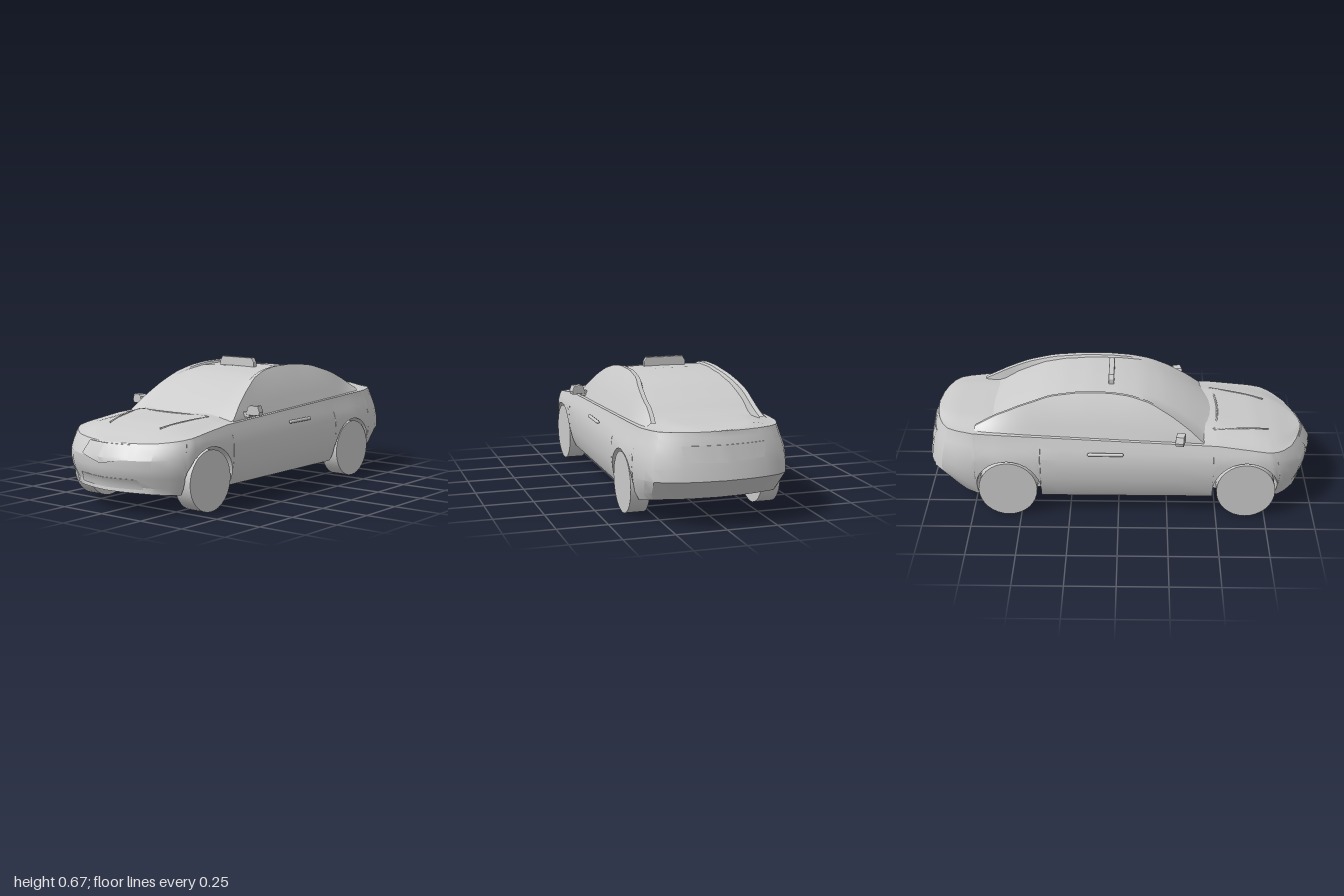
import * as THREE from 'three';
import { toCreasedNormals } from 'three/addons/utils/BufferGeometryUtils.js';

const material = new THREE.MeshStandardMaterial({ color: 0xcccccc });
const thinMaterial = new THREE.MeshStandardMaterial({ color: 0xcccccc, side: THREE.DoubleSide });
const clamp = THREE.MathUtils.clamp, lerp = THREE.MathUtils.lerp;

// Linear lookup in a table of [key, value] with rising keys
function look(table, key) {
  if (key <= table[0][0]) return table[0][1];
  for (let i = 1; i < table.length; i++) {
    const [a, va] = table[i - 1], [b, vb] = table[i];
    if (key <= b) return lerp(va, vb, (key - a) / (b - a));
  }
  return table[table.length - 1][1];
}

// Surface through a grid of points: rows run backwards, columns upwards on the left side
function skin(rows, crease = 0.5) {
  const n = rows[0].length, index = [];
  for (let i = 0; i < rows.length - 1; i++)
    for (let j = 0; j < n - 1; j++) {
      const a = i * n + j, b = a + n;
      index.push(a, b, a + 1, b, b + 1, a + 1);
    }
  const g = new THREE.BufferGeometry();
  g.setAttribute('position', new THREE.Float32BufferAttribute(rows.flat(2), 3));
  g.setIndex(index);
  return toCreasedNormals(g, crease);
}
const mirrored = half => [...half, ...half.slice(0, -1).reverse().map(([x, y, z]) => [-x, y, z])];

// Plan outline (z, half width) and body curves
const plan = [[-1, 0], [-0.99, 0.12], [-0.975, 0.2], [-0.95, 0.275], [-0.91, 0.325], [-0.85, 0.352], [-0.75, 0.378],
  [-0.6, 0.388], [0, 0.388], [0.6, 0.388], [0.72, 0.388], [0.79, 0.38], [0.84, 0.355], [0.88, 0.32], [0.93, 0.255],
  [0.965, 0.17], [0.988, 0.085], [1, 0]];
const floorY = [[-1, 0.125], [-0.88, 0.115], [-0.74, 0.1], [0.85, 0.1], [1, 0.11]];
const beltY = [[-1, 0.455], [-0.6, 0.445], [0, 0.42], [0.5, 0.4], [0.8, 0.365], [0.95, 0.342], [1, 0.34]];
const crownY = [[-1, 0.458], [-0.92, 0.472], [-0.7, 0.468], [0, 0.44], [0.5, 0.432], [0.7, 0.408], [0.85, 0.382], [0.93, 0.36], [1, 0.34]];
const sideWidth = [[0.1, 0.35], [0.15, 0.375], [0.23, 0.388], [0.31, 0.388], [0.34, 0.382], [0.4, 0.36], [0.43, 0.35], [0.46, 0.342]];
const frontLean = [[0.11, -0.03], [0.14, -0.035], [0.2, 0], [0.27, 0], [0.31, -0.025], [0.36, -0.06]];
const rearLean = [[0.125, 0.12], [0.235, 0], [0.3, 0.012], [0.4, 0.035], [0.46, 0.055]];
const wheelZ = [0.65, -0.565], archR = 0.17;

const leanZ = (z, y) => z + look(z > 0 ? frontLean : rearLean, y) * clamp((Math.abs(z) - 0.7) / 0.25, 0, 1);
const deckY = (z, k) => lerp(look(crownY, z), look(beltY, z), THREE.MathUtils.smoothstep(k, 0.5, 1));

function archY(z) {
  for (const c of wheelZ) {
    const d = Math.abs(z - c);
    if (d < archR - 0.0005) return 0.145 + Math.sqrt(archR ** 2 - d * d);
  }
  return look(floorY, z);
}

// Lower body: floor, wheel wells, sides, bonnet and boot lid in one skin
function bodyGeometry() {
  const stations = plan.map(p => p[0]).filter(z => wheelZ.every(c => Math.abs(z - c) > archR));
  for (const c of wheelZ) {
    stations.push(c + archR, c - archR);
    for (let i = 0; i <= 16; i++) stations.push(c + (archR - 0.001) * Math.cos(i * Math.PI / 16));
  }
  stations.push(0.3, 0.15, -0.15, -0.3);
  stations.sort((a, b) => b - a);
  return skin(stations.map(z => {
    const w = look(plan, z), low = look(floorY, z), edge = archY(z), belt = look(beltY, z);
    const width = y => w * look(sideWidth, y) / 0.388;
    const inner = Math.min(0.27, width(low)), z0 = leanZ(z, low);
    const half = [[0, low, z0], [inner, low, z0], [inner, edge, z0]];
    for (const t of [0, 0.12, 0.33, 0.5, 0.68, 0.82, 0.92, 1]) {
      const y = lerp(edge, belt, t);
      half.push([width(y), y, leanZ(z, y)]);
    }
    for (const k of [0.95, 0.88, 0.8, 0.7, 0.6, 0.5, 0.25, 0])
      half.push([width(belt) * k, deckY(z, k), leanZ(z, belt)]);
    return mirrored(half);
  }), 0.45);
}

// Cabin: side glass, raised roof rails, windscreen, roof and sunken rear window
const railY = [[-0.73, 0.465], [-0.62, 0.522], [-0.5, 0.572], [-0.35, 0.617], [-0.2, 0.633], [-0.05, 0.632], [0.05, 0.62],
  [0.15, 0.59], [0.25, 0.535], [0.35, 0.47], [0.43, 0.408]];
const roofY = [[-0.73, 0.44], [-0.62, 0.478], [-0.55, 0.52], [-0.4, 0.588], [-0.3, 0.613], [-0.15, 0.626], [0, 0.622], [0.1, 0.605],
  [0.2, 0.567], [0.3, 0.508], [0.43, 0.43]];
const glassX = [[0.4, 0.343], [0.43, 0.333], [0.55, 0.283], [0.6, 0.255], [0.63, 0.235]];

function cabinGeometry() {
  const rows = [];
  for (let i = 0; i <= 32; i++) {
    const z = lerp(0.43, -0.73, i / 32), base = look(beltY, z) - 0.015;
    const rail = Math.max(look(railY, z), base), roof = look(roofY, z);
    const tuck = 0.035 * THREE.MathUtils.smoothstep(-z, 0.45, 0.73);
    const bow = x => z + 0.05 * clamp(z / 0.3, 0, 1) * (1 - (x / 0.34) ** 2);
    const half = [];
    for (const t of [0, 0.33, 0.67, 1]) {
      const y = lerp(base, rail, t), x = look(glassX, y) - tuck * t;
      half.push([x, y, bow(x)]);
    }
    const xr = half[3][0], edge = Math.min(rail, roof) - 0.006;
    half.push([xr - 0.022, rail - 0.003, bow(xr - 0.022)], [xr - 0.028, edge, bow(xr - 0.028)]);
    for (const k of [0.75, 0.5, 0.25, 0]) {
      const x = (xr - 0.028) * k;
      half.push([x, lerp(roof, edge, k * k), bow(x)]);
    }
    rows.push(mirrored(half));
  }
  return skin(rows, 0.5);
}

// Panel laid on the nose (end = 1) or tail (end = -1); outline rows are [half width, y, centre drop]
function panelGeometry(end, outline, lift) {
  const ends = plan.filter(p => p[0] * end > 0.83).map(([z, x]) => [x, z]).sort((a, b) => a[0] - b[0]);
  const point = (x, y, d) => [x, y, leanZ(look(ends, Math.abs(x) * 0.388 / look(sideWidth, y)), y) + end * d];
  const rows = [];
  for (let i = 0; i <= 12; i++) {
    const u = end * (i / 6 - 1), col = outline.map(([w, y, drop]) => point(u * w, y - drop * (1 - Math.abs(u)), lift));
    const first = outline[0], last = outline[outline.length - 1];
    const rim = ([w, y, drop]) => point(u * w, y - drop * (1 - Math.abs(u)), -0.004);
    rows.push([rim(first), ...col, rim(last)]);
  }
  return skin(rows);
}

function extruded(points, depth) {
  return new THREE.ExtrudeGeometry(new THREE.Shape(points.map(p => new THREE.Vector2(...p))),
    { depth, bevelEnabled: true, bevelThickness: 0.004, bevelSize: 0.004, bevelSegments: 2 });
}

function tube(points, radius) {
  return new THREE.TubeGeometry(new THREE.CatmullRomCurve3(points.map(p => new THREE.Vector3(...p))), 16, radius, 6);
}

export function createModel() {
  const car = new THREE.Group();
  car.name = 'car';
  const add = (name, geometry, x = 0, y = 0, z = 0, mat = material) => {
    const mesh = new THREE.Mesh(geometry, mat);
    mesh.name = name;
    mesh.position.set(x, y, z);
    car.add(mesh);
    return mesh;
  };

  add('body', bodyGeometry());
  add('cabin', cabinGeometry());

  // Nose and tail panels
  add('grille', panelGeometry(1, [[0.15, 0.275, 0.032], [0.145, 0.29, 0.018], [0.13, 0.335, 0]], 0.005), 0, 0, 0, thinMaterial);
  add('lowerIntake', panelGeometry(1, [[0.197, 0.126, 0], [0.19, 0.15, 0], [0.18, 0.176, 0]], 0.004), 0, 0, 0, thinMaterial);
  add('rearPlatePanel', panelGeometry(-1, [[0.19, 0.325, 0.01], [0.2, 0.35, 0], [0.205, 0.395, 0]], 0.004), 0, 0, 0, thinMaterial);

  // Cowl strip at the foot of the windscreen
  add('cowlStrip', tube([[-0.23, 0.425, 0.485], [-0.12, 0.429, 0.505], [0, 0.43, 0.512], [0.12, 0.429, 0.505], [0.23, 0.425, 0.485]], 0.005));

  // Roof sign
  add('roofSign', extruded([[-0.108, 0.615], [0.108, 0.615], [0.108, 0.645], [0.096, 0.664], [-0.096, 0.664], [-0.108, 0.645]], 0.02), 0, 0, -0.05);

  for (const s of [1, -1]) {
    const side = s > 0 ? 'left' : 'right';

    // Bonnet ridge
    const ridge = [0.77, 0.68, 0.58, 0.485].map((z, i) => {
      const x = 0.165 + 0.022 * i;
      return [s * x, deckY(z, x / 0.352) - 0.001, z];
    });
    add(side + 'BonnetRidge', tube(ridge, 0.005));

    // Door mirror and its arm
    const outline = [[0.345, 0.432], [0.408, 0.432], [0.412, 0.445], [0.402, 0.472], [0.36, 0.472], [0.35, 0.462]];
    const mirror = add(side + 'Mirror', extruded(s > 0 ? outline : outline.map(([x, y]) => [-x, y]).reverse(), 0.035), 0, 0, 0.295);
    mirror.geometry.translate(-s * 0.38, 0, 0).rotateY(s * 0.2).translate(s * 0.38, 0, 0);
    add(side + 'MirrorArm', new THREE.BoxGeometry(0.05, 0.025, 0.03), s * 0.338, 0.43, 0.32);

    // Door handle
    const handle = add(side + 'DoorHandle', new THREE.CapsuleGeometry(0.009, 0.165, 4, 8), s * 0.388, 0.362, -0.065);
    handle.rotation.x = Math.PI / 2;

    // Wheels
    wheelZ.forEach((z, i) => {
      const wheel = add(side + (i ? 'RearWheel' : 'FrontWheel'), new THREE.CylinderGeometry(0.15, 0.15, 0.095, 32), s * 0.3325, 0.15, z);
      wheel.rotation.z = Math.PI / 2;
    });
  }
  return car;
}
